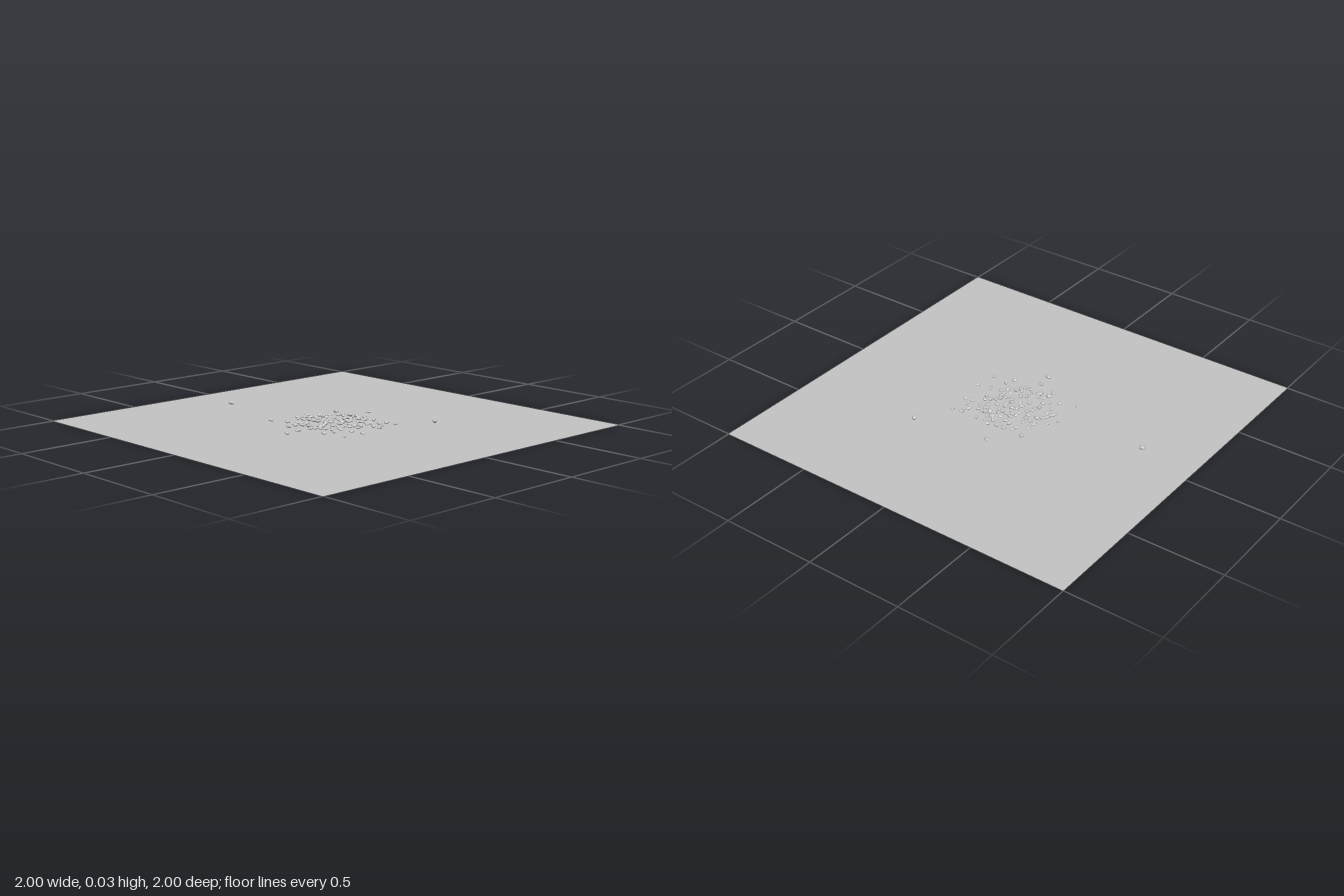
import * as THREE from 'three';

// Seeded random numbers in 0..1
function seeded(seed) {
  return () => {
    seed = (seed * 1664525 + 1013904223) % 4294967296;
    return seed / 4294967296;
  };
}

// Faceted, slightly lumpy stone of unit radius
function stoneGeometry(variant) {
  const geometry = new THREE.IcosahedronGeometry(1, 1);
  const position = geometry.attributes.position;
  const v = new THREE.Vector3();
  for (let i = 0; i < position.count; i++) {
    v.fromBufferAttribute(position, i);
    const lump = 1 + 0.12 * Math.sin(3.1 * v.x + 2.3 * v.y + variant * 1.7)
      + 0.08 * Math.cos(4.3 * v.z - 2.1 * v.x + variant);
    v.multiplyScalar(lump);
    position.setXYZ(i, v.x, v.y, v.z);
  }
  geometry.computeVertexNormals();
  return geometry;
}

// Stray pebbles around the rim of the pile, as [x, z]
const strays = [
  [-0.09, -0.70], [0.36, 0.35], [0.29, -0.05], [-0.35, 0.04], [-0.27, 0.03],
  [-0.21, -0.24], [-0.04, -0.24], [0.01, -0.21], [-0.07, -0.19], [0.17, -0.17],
  [0.05, -0.16], [-0.18, -0.15], [-0.24, -0.07], [0.17, 0.11], [-0.22, 0.16],
  [-0.17, 0.18], [-0.19, 0.27], [-0.08, 0.29], [-0.09, 0.22], [0.06, 0.26],
  [0.06, 0.22], [0.10, 0.23], [0.13, 0.19], [0.17, 0.20], [0.18, 0.25],
  [0.08, 0.09], [0.18, 0.03], [0.15, -0.10], [-0.20, -0.07],
];

export function createModel() {
  const model = new THREE.Group();
  const groundGrey = new THREE.MeshStandardMaterial({ color: 0xc4c4c4, side: THREE.DoubleSide });
  groundGrey.name = 'ground grey';
  const stoneGrey = new THREE.MeshStandardMaterial({ color: 0xc0c0c0 });
  stoneGrey.name = 'stone grey';

  // Flat square sheet
  const ground = new THREE.Mesh(new THREE.PlaneGeometry(2, 2).rotateX(-Math.PI / 2), groundGrey);
  ground.name = 'groundSheet';
  model.add(ground);

  // Fill the middle of the pile, keeping the pebbles apart
  const random = seeded(41);
  const places = strays.slice();
  for (let tries = 0; tries < 4000 && places.length < 105; tries++) {
    const angle = random() * Math.PI * 2;
    const radius = 0.19 * Math.pow(random(), 0.6);
    const x = -0.015 + radius * Math.cos(angle);
    const z = radius * Math.sin(angle);
    if (places.every(([px, pz]) => Math.hypot(px - x, pz - z) > 0.024)) places.push([x, z]);
  }

  // Pebbles of varied size and turn, resting on the sheet
  const pebbles = new THREE.Group();
  pebbles.name = 'pebblePile';
  const stones = [0, 1, 2, 3, 4].map(stoneGeometry);
  places.forEach(([x, z], i) => {
    const pebble = new THREE.Mesh(stones[i % stones.length], stoneGrey);
    const long = 0.012 + 0.005 * random();
    const high = i < 2 ? 0.010 : 0.006 + 0.003 * random();
    // Some pebbles in the middle lie a little higher
    const lift = i >= strays.length && random() > 0.8 ? 0.006 : 0;
    pebble.scale.set(long, high, long * (0.65 + 0.25 * random()));
    pebble.rotation.y = random() * Math.PI * 2;
    pebble.position.set(x, high * 1.2 + lift, z);
    pebble.name = 'pebble';
    pebbles.add(pebble);
  });
  model.add(pebbles);
  return model;
}
